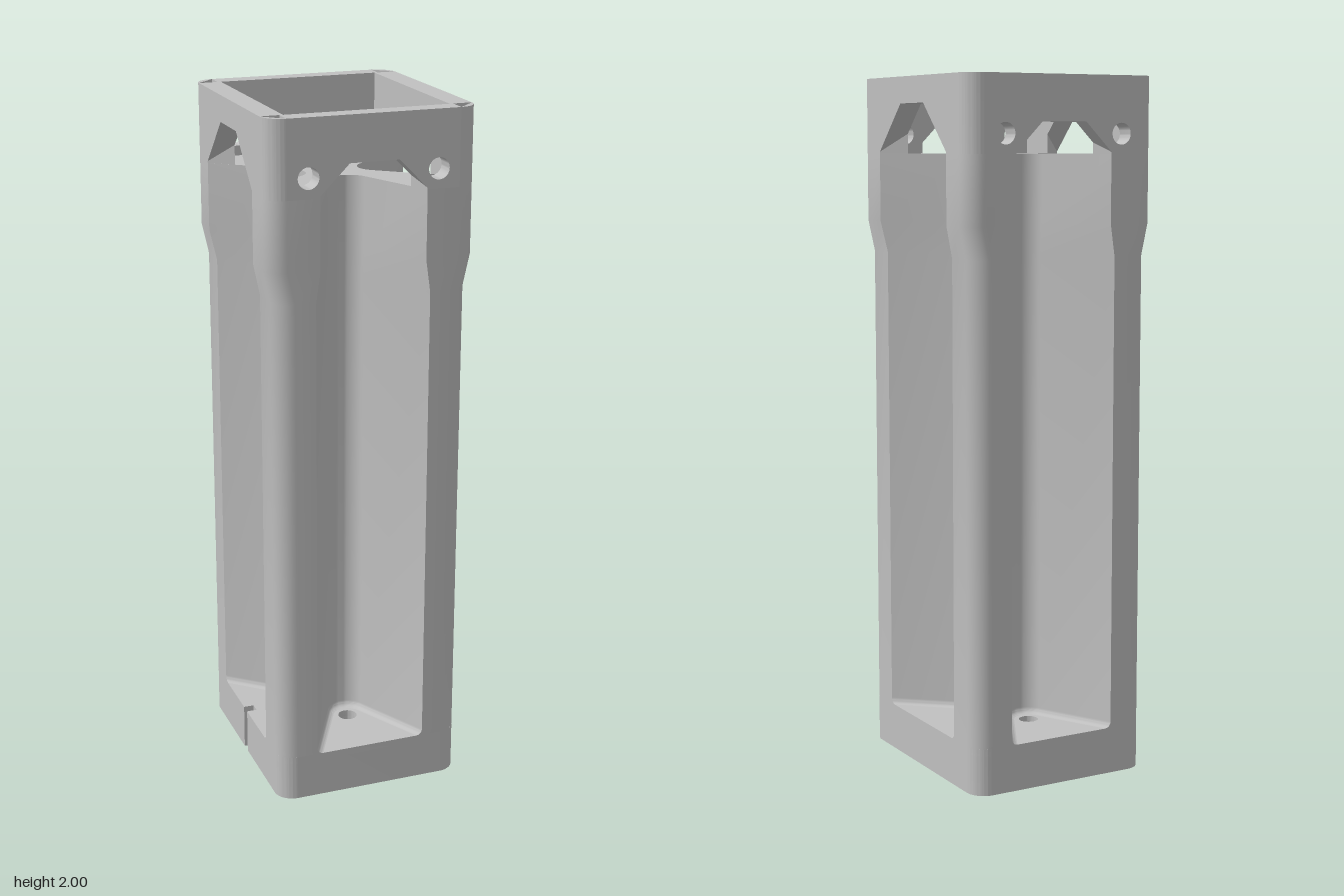
import * as THREE from 'three';
import { toCreasedNormals } from 'three/addons/utils/BufferGeometryUtils.js';

const HZ = 0.33, R = 0.055;              // half depth, corner radius
const FLOOR = 0.135, DECK = 1.785, TOP = 2;
const FILLET = 0.018;

// One side of a groove, from its deepest point to its outer edge: u outward, v sideways
function grooveSide(h, w, r) {
  const c = 0.14, d = Math.hypot(h - c, w);
  const end = Math.atan2(w, h - c) + Math.acos(r / d);
  const pts = [];
  for (let i = 0; i <= 8; i++) {
    const a = Math.PI + (end - Math.PI) * i / 8;
    pts.push([c + r * Math.cos(a), i ? r * Math.sin(a) : 0]);
  }
  pts.push([h, w]);
  return pts;
}

// X-shaped section of the post at height y, grooves narrowed by inset
function section(y, inset) {
  const t = THREE.MathUtils.clamp((y - 1.5) / 0.09, 0, 1);
  const hx = 0.28 + 0.02 * t;
  const q = grooveSide(hx, 0.2 + 0.005 * t - inset, 0.06 - inset);
  for (let i = 0; i <= 8; i++) {
    const a = Math.PI / 2 * i / 8;
    q.push([hx - R + R * Math.cos(a), HZ - R + R * Math.sin(a)]);
  }
  grooveSide(HZ, 0.165 - 0.013 * t - inset, 0.06 - inset).reverse().forEach(([u, v]) => q.push([v, u]));
  const half = q.concat(q.slice(0, -1).reverse().map(([x, z]) => [-x, z]));
  return half.concat(half.slice(1, -1).reverse().map(([x, z]) => [x, -z]));
}

// Skin joining stacked sections
function loft(layers) {
  const pos = [];
  for (let k = 0; k + 1 < layers.length; k++) {
    const [lo, hi] = [layers[k], layers[k + 1]], n = lo.pts.length;
    for (let i = 0; i < n; i++) {
      const j = (i + 1) % n;
      const p = (l, m) => [l.pts[m][0], l.y, l.pts[m][1]];
      pos.push(...p(lo, i), ...p(hi, i), ...p(lo, j), ...p(lo, j), ...p(hi, i), ...p(hi, j));
    }
  }
  const g = new THREE.BufferGeometry();
  g.setAttribute('position', new THREE.Float32BufferAttribute(pos, 3));
  g.computeVertexNormals();
  return toCreasedNormals(g, 0.5);
}

function circle(x, y, r) {
  return new THREE.Path().absarc(x, y, r, 0, Math.PI * 2, true);
}

// Horizontal slab from y0 to y1
function slab(shape, y0, y1) {
  const g = new THREE.ExtrudeGeometry(shape, { depth: y1 - y0, bevelEnabled: false, curveSegments: 20 });
  return toCreasedNormals(g.rotateX(-Math.PI / 2).translate(0, y0, 0), 0.5);
}

// Rounded base outline with a cable notch in its -x edge
function baseShape() {
  const s = new THREE.Shape(), x = 0.28 - R, z = HZ - R, n = 0.015;
  s.absarc(x, z, R, 0, Math.PI / 2, false);
  s.absarc(-x, z, R, Math.PI / 2, Math.PI, false);
  s.lineTo(-0.28, n); s.lineTo(-0.25, n); s.lineTo(-0.25, -n); s.lineTo(-0.28, -n);
  s.absarc(-x, -z, R, Math.PI, Math.PI * 1.5, false);
  s.absarc(x, -z, R, Math.PI * 1.5, Math.PI * 2, false);
  s.holes.push(circle(0.14, 0, 0.028), circle(0, 0.14, 0.028), circle(0, -0.14, 0.028));
  return s;
}

// Upper wall: window open at the bottom, wide outside and narrower inside
function wallPanel(L, wo, wi, thick, h, holes) {
  const wt = 0.07, ys = 1.79, yt = ys + wo - wt;
  const s = new THREE.Shape([
    [-L, DECK], [-wo, DECK], [-wo, ys], [-wt, yt], [wt, yt], [wo, ys], [wo, DECK], [L, DECK], [L, TOP], [-L, TOP],
  ].map(([x, y]) => new THREE.Vector2(x, y)));
  if (holes) s.holes.push(circle(-0.185, 1.84, 0.03), circle(0.185, 1.84, 0.03));
  const g = new THREE.ExtrudeGeometry(s, { depth: thick, bevelEnabled: false, curveSegments: 20 });
  const p = g.attributes.position;
  for (let i = 0; i < p.count; i++) {
    const x = p.getX(i), y = p.getY(i);
    if (p.getZ(i) < 1e-6 && Math.abs(Math.abs(x) - wo) < 1e-4 && y < ys + 1e-4) {
      p.setX(i, Math.sign(x) * wi);
      if (y > DECK + 0.002) p.setY(i, ys + wo - wi);
    }
  }
  g.computeVertexNormals();
  return toCreasedNormals(g.translate(0, 0, h - thick), 0.5);
}

export function createModel() {
  const group = new THREE.Group();
  const gray = new THREE.MeshStandardMaterial({ color: 0xc0c0c0 });
  gray.name = 'light gray';
  const add = (name, geometry) => {
    const m = new THREE.Mesh(geometry, gray);
    m.name = name;
    group.add(m);
    return m;
  };

  // Base with screw holes; its top layer also has a shallow cable slot
  const lower = baseShape(), upper = baseShape();
  lower.holes.push(circle(-0.14, 0, 0.028));
  const a = Math.asin(0.015 / 0.028), slot = new THREE.Path();
  slot.moveTo(-0.2, -0.015);
  slot.absarc(-0.14, 0, 0.028, Math.PI + a, Math.PI * 2 - a, false);
  slot.lineTo(-0.08, -0.015);
  slot.lineTo(-0.08, 0.015);
  slot.absarc(-0.14, 0, 0.028, a, Math.PI - a, false);
  slot.lineTo(-0.2, 0.015);
  upper.holes.push(slot);
  add('base', slab(lower, 0, FLOOR - 0.02));
  add('baseFloor', slab(upper, FLOOR - 0.02, FLOOR));

  // Grooved post, filleted at the floor and flared near the top
  const layers = [];
  for (let i = 0; i <= 5; i++) {
    const b = Math.PI / 2 * i / 5, y = FLOOR + FILLET * (1 - Math.cos(b));
    layers.push({ y, pts: section(y, FILLET * (1 - Math.sin(b))) });
  }
  for (const y of [1.5, 1.59, DECK]) layers.push({ y, pts: section(y, 0) });
  add('groovedPost', loft(layers));
  const deck = new THREE.Shape(section(DECK, 0).map(([x, z]) => new THREE.Vector2(x, z)));
  add('postDeck', new THREE.ShapeGeometry(deck).rotateX(-Math.PI / 2).translate(0, DECK, 0));

  // Collar walls around the top pocket
  const front = wallPanel(0.245, 0.152, 0.126, 0.055, HZ, true);
  const side = wallPanel(0.275, 0.205, 0.154, 0.065, 0.3, false);
  add('frontWall', front);
  add('backWall', front).rotation.y = Math.PI;
  add('leftWall', side).rotation.y = Math.PI / 2;
  add('rightWall', side).rotation.y = -Math.PI / 2;

  // Rounded collar corners
  for (let i = 0; i < 4; i++) {
    const s = new THREE.Shape(), cx = 0.245 * (i === 0 || i === 3 ? 1 : -1), cy = 0.275 * (i < 2 ? 1 : -1);
    s.moveTo(cx, cy);
    s.absarc(cx, cy, R, i * Math.PI / 2, (i + 1) * Math.PI / 2, false);
    add('collarCorner', slab(s, DECK, TOP));
  }
  return group;
}
